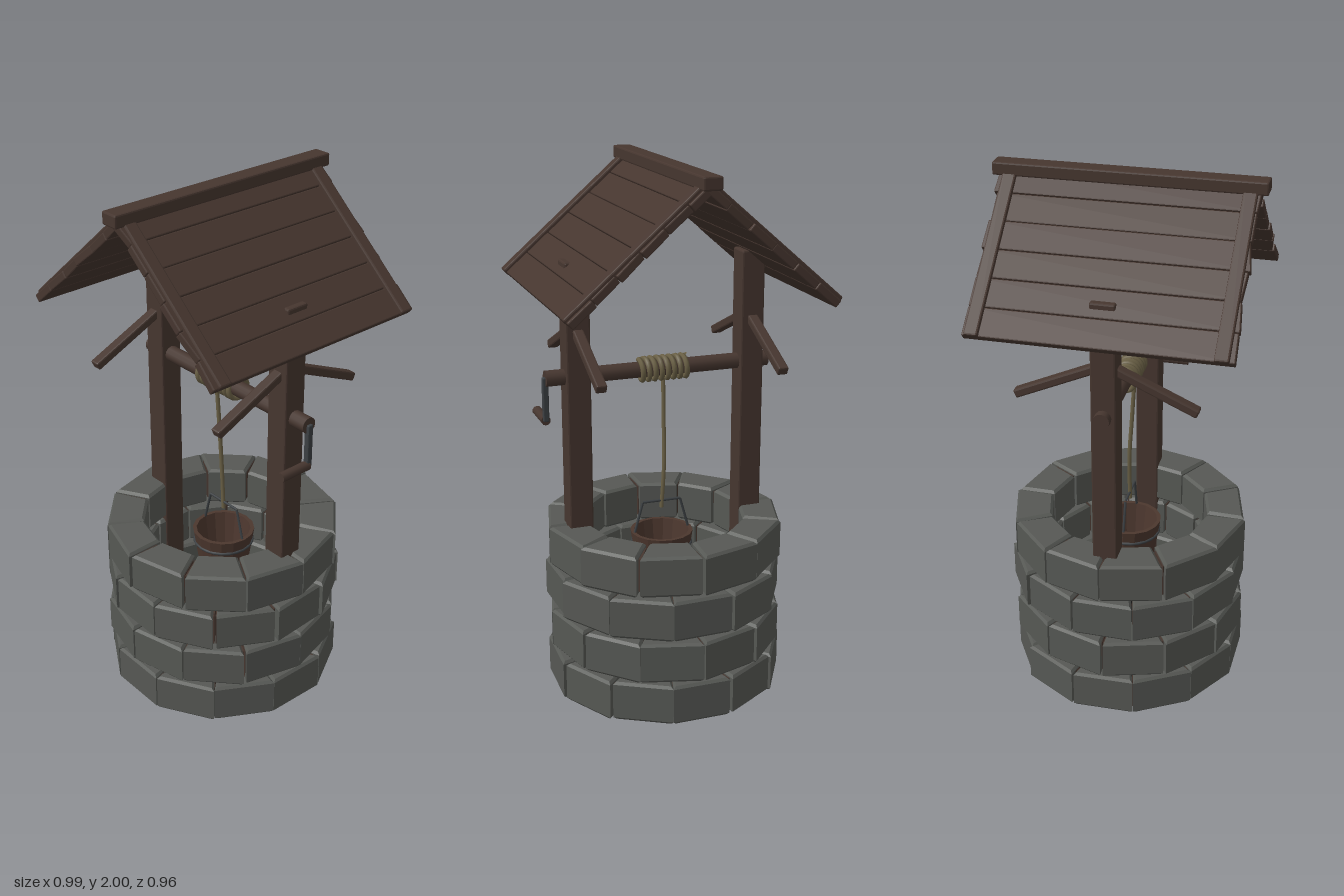
import * as THREE from 'three';
import { RoundedBoxGeometry } from 'three/addons/geometries/RoundedBoxGeometry.js';

const mat = (name, color, side = THREE.FrontSide) => {
  const m = new THREE.MeshStandardMaterial({ color, side });
  m.name = name;
  return m;
};

export function createModel() {
  const model = new THREE.Group();
  model.name = 'well';
  const stone = mat('grey stone', 0x565854);
  const mortar = mat('brown mortar', 0x46362f);
  const wood = mat('dark wood', 0x46362f);
  const bucketWood = mat('bucket wood', 0x4c372e, THREE.DoubleSide);
  const rope = mat('rope', 0x6a6045);
  const iron = mat('iron', 0x3c4043);
  const dark = mat('dark floor', 0x141414, THREE.DoubleSide);

  // Small seeded generator, returns -1..1
  let seed = 11;
  const rnd = () => {
    seed = (seed * 16807) % 2147483647;
    return (seed / 2147483647) * 2 - 1;
  };
  const flat = (g) => {
    const f = g.index ? g.toNonIndexed() : g;
    f.computeVertexNormals();
    return f;
  };
  const add = (parent, name, geo, material, x = 0, y = 0, z = 0) => {
    const m = new THREE.Mesh(geo, material);
    m.name = name;
    m.position.set(x, y, z);
    parent.add(m);
    return m;
  };
  const beam = (w, h, d, r = 0.006) => flat(new RoundedBoxGeometry(w, h, d, 1, r));
  const V = (x, y, z) => new THREE.Vector3(x, y, z);

  // Wedge block pointing to +z, standing on y = 0, with bevelled edges
  const wedge = (outerHalf, innerHalf, zOut, zIn, h, b, jitter) => {
    const j = () => rnd() * jitter;
    const s = new THREE.Shape([
      new THREE.Vector2(-outerHalf + b + j(), -zOut + b + j()),
      new THREE.Vector2(outerHalf - b + j(), -zOut + b + j()),
      new THREE.Vector2(innerHalf - b, -zIn - b),
      new THREE.Vector2(-innerHalf + b, -zIn - b),
    ]);
    const g = new THREE.ExtrudeGeometry(s, {
      depth: h - 2 * b, bevelEnabled: b > 0, bevelSize: b, bevelThickness: b, bevelSegments: 1,
    });
    g.rotateX(-Math.PI / 2).translate(0, b, 0);
    return flat(g);
  };

  // Stone ring: four staggered courses of twelve blocks
  const wall = new THREE.Group();
  wall.name = 'stoneWall';
  model.add(wall);
  for (let row = 0; row < 4; row++) {
    for (let i = 0; i < 12; i++) {
      const a = ((i + (row % 2) * 0.5) * Math.PI) / 6;
      const y = 0.006 + row * 0.17;
      const block = add(wall, 'stone', wedge(0.112, 0.076, 0.436, 0.295, 0.155, 0.01, 0.005), stone, 0, y);
      block.rotation.y = a + rnd() * 0.008;
      // Mortar shows only inside the joints
      add(wall, 'mortar', wedge(0.108, 0.08, 0.41, 0.31, 0.125, 0, 0), mortar, 0, y + 0.015).rotation.y = a;
    }
  }
  add(model, 'wellFloor', new THREE.CylinderGeometry(0.3, 0.3, 0.008, 32), dark, 0, 0.008);

  // Posts, each with two sloping arms
  for (const s of [-1, 1]) {
    add(model, 'post', beam(0.09, 1.665, 0.09), wood, s * 0.335, 0.8325);
    for (const f of [-1, 1]) {
      const arm = add(model, 'postArm', beam(0.04, 0.032, 0.345), wood, s * 0.335, 1.352, f * 0.166);
      arm.rotation.x = f * 0.42;
    }
  }

  // Roof: two sloping sides of planks with edge battens
  const slope = 0.711;
  for (const s of [1, -1]) {
    const turn = new THREE.Group();
    turn.name = s > 0 ? 'leftRoof' : 'rightRoof';
    turn.position.y = 1.991;
    turn.rotation.y = s > 0 ? 0 : Math.PI;
    const side = new THREE.Group();
    side.name = 'roofSide';
    side.rotation.z = -slope;
    turn.add(side);
    model.add(turn);
    for (let i = 0; i < 6; i++) {
      const g = new RoundedBoxGeometry(0.107, 0.03, 0.9, 1, 0.004);
      // Uneven sawn plank ends
      const ends = [rnd(), rnd(), rnd(), rnd()].map((e) => 0.004 + e * 0.009);
      const p = g.attributes.position;
      for (let k = 0; k < p.count; k++) {
        const z = p.getZ(k);
        const e = ends[(z > 0 ? 2 : 0) + (p.getX(k) > 0 ? 1 : 0)];
        p.setZ(k, z + Math.sign(z) * e);
      }
      add(side, 'roofPlank', flat(g), wood, 0.055 + i * 0.109, -0.029 + rnd() * 0.001);
    }
    for (const f of [-1, 1]) {
      add(side, 'roofBatten', beam(0.645, 0.03, 0.05), wood, 0.334, -0.015, f * 0.419);
    }
  }
  add(model, 'ridgeBeam', beam(0.07, 0.047, 0.96), wood, 0, 1.9765, 0);

  // Windlass: axle, crank and rope coil
  const axle = new THREE.CylinderGeometry(0.03, 0.03, 0.86, 12).rotateZ(Math.PI / 2);
  add(model, 'axle', axle, wood, 0.02, 1.243);
  add(model, 'crankArm', beam(0.022, 0.165, 0.022, 0.004), iron, 0.45, 1.165);
  add(model, 'crankHandle', new THREE.CylinderGeometry(0.018, 0.018, 0.13, 10).rotateX(Math.PI / 2), wood, 0.45, 1.085, 0.065);

  const coil = [];
  const turns = 8;
  for (let i = 0; i <= turns * 12; i++) {
    const a = (i / 12) * Math.PI * 2;
    coil.push(V(-0.097 + (0.194 * i) / (turns * 12), 1.243 + Math.cos(a) * 0.04, Math.sin(a) * 0.04));
  }
  add(model, 'ropeCoil', new THREE.TubeGeometry(new THREE.CatmullRomCurve3(coil), 192, 0.01, 6), rope);
  const hang = new THREE.CatmullRomCurve3([V(-0.006, 1.21, 0.02), V(-0.004, 1.05, 0.01), V(-0.003, 0.88, 0), V(0.008, 0.69, 0)]);
  add(model, 'hangingRope', new THREE.TubeGeometry(hang, 16, 0.008, 6), rope);

  // Bucket with iron hoops and bail
  const bucket = new THREE.Group();
  bucket.name = 'bucket';
  bucket.position.set(0.008, 0.4, 0);
  model.add(bucket);
  const profile = [[0, 0], [0.09, 0], [0.12, 0.2], [0.105, 0.2], [0.08, 0.02], [0, 0.02]];
  const body = new THREE.LatheGeometry(profile.map(([x, y]) => new THREE.Vector2(x, y)), 16);
  add(bucket, 'bucketBody', flat(body), bucketWood);
  for (const y of [0.05, 0.15]) {
    const hoop = add(bucket, 'bucketHoop', new THREE.TorusGeometry(0.09 + y * 0.15, 0.006, 6, 24), iron, 0, y);
    hoop.rotation.x = Math.PI / 2;
  }
  const bail = new THREE.CurvePath();
  const pts = [V(-0.113, 0.18, 0), V(-0.075, 0.318, 0), V(0.075, 0.318, 0), V(0.113, 0.18, 0)];
  for (let i = 0; i < 3; i++) bail.add(new THREE.LineCurve3(pts[i], pts[i + 1]));
  for (const c of bail.curves) add(bucket, 'bucketBail', new THREE.TubeGeometry(c, 1, 0.005, 6), iron);

  return model;
}
